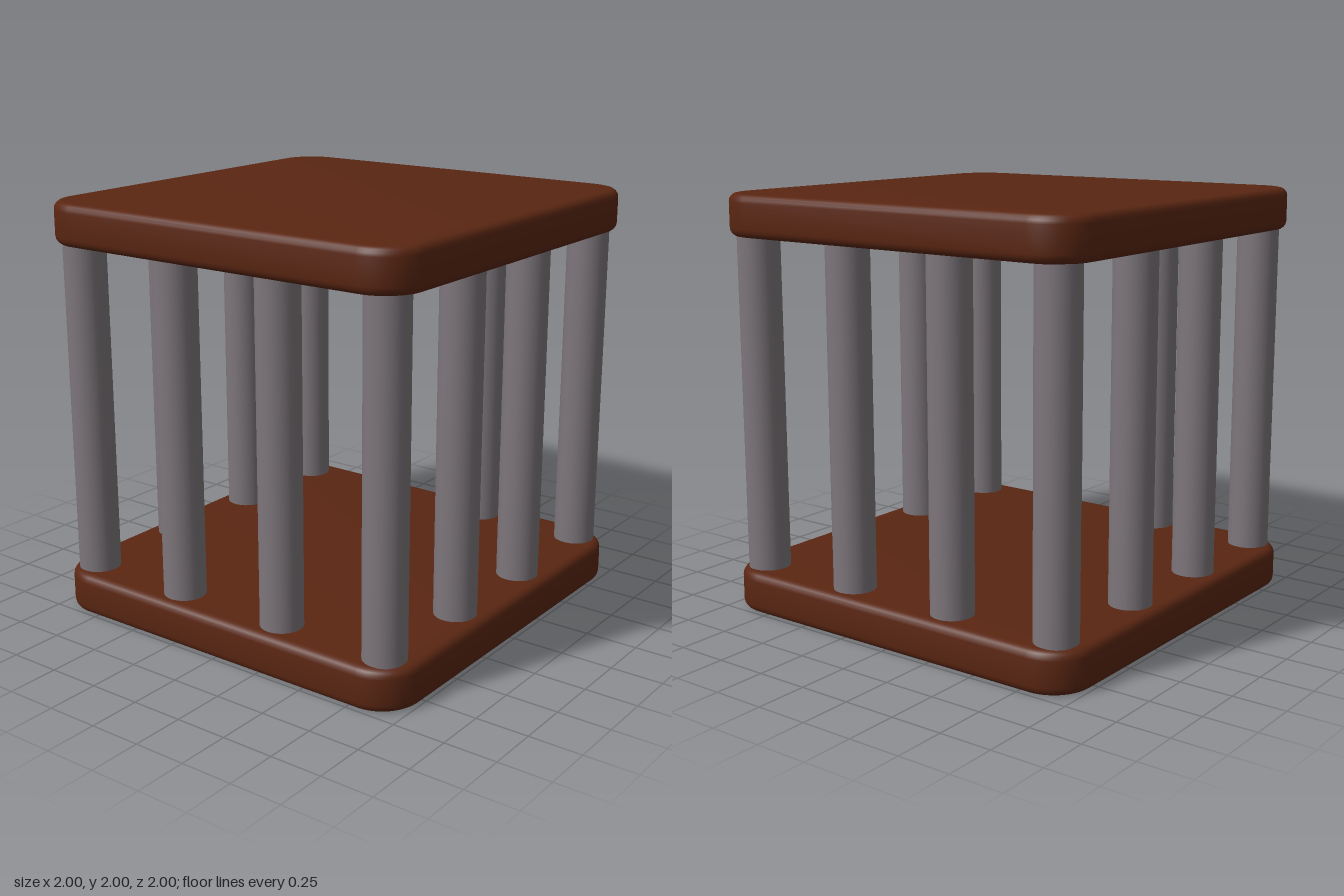
import * as THREE from 'three';
import { toCreasedNormals } from 'three/addons/utils/BufferGeometryUtils.js';

const wood = new THREE.MeshStandardMaterial({ color: 0x5a2612 });
const metal = new THREE.MeshStandardMaterial({ color: 0x7d767b });

// Rounded square slab, 2 x 0.2 x 2, with softened rims, resting on y = 0
function slabGeometry() {
  const bevel = 0.04, h = 1 - bevel, r = 0.16;
  const shape = new THREE.Shape();
  shape.absarc(h - r, h - r, r, 0, Math.PI / 2);
  shape.absarc(r - h, h - r, r, Math.PI / 2, Math.PI);
  shape.absarc(r - h, r - h, r, Math.PI, Math.PI * 1.5);
  shape.absarc(h - r, r - h, r, Math.PI * 1.5, Math.PI * 2);
  const geo = new THREE.ExtrudeGeometry(shape, {
    depth: 0.2 - 2 * bevel, bevelSize: bevel, bevelThickness: bevel,
    bevelSegments: 4, curveSegments: 10,
  });
  geo.rotateX(-Math.PI / 2).translate(0, bevel, 0);
  return toCreasedNormals(geo, 0.6);
}

export function createModel() {
  const model = new THREE.Group();
  model.name = 'cage';

  // Floor and roof
  const slab = slabGeometry();
  for (const [name, y] of [['floorSlab', 0], ['roofSlab', 1.8]]) {
    const mesh = new THREE.Mesh(slab, wood);
    mesh.name = name;
    mesh.position.y = y;
    model.add(mesh);
  }

  // Ring of bars around the edge, four to a side
  const bars = new THREE.Group();
  bars.name = 'bars';
  const barGeo = new THREE.CylinderGeometry(0.1, 0.1, 1.62, 32);
  const xs = [-0.85, -0.29, 0.29, 0.85];
  const zs = [-0.85, -0.27, 0.29, 0.85];
  xs.forEach((x, i) => zs.forEach((z, j) => {
    if (i % 3 !== 0 && j % 3 !== 0) return; // the middle stays open
    const bar = new THREE.Mesh(barGeo, metal);
    bar.name = 'bar';
    bar.position.set(x, 1, z);
    bars.add(bar);
  }));
  model.add(bars);
  return model;
}
